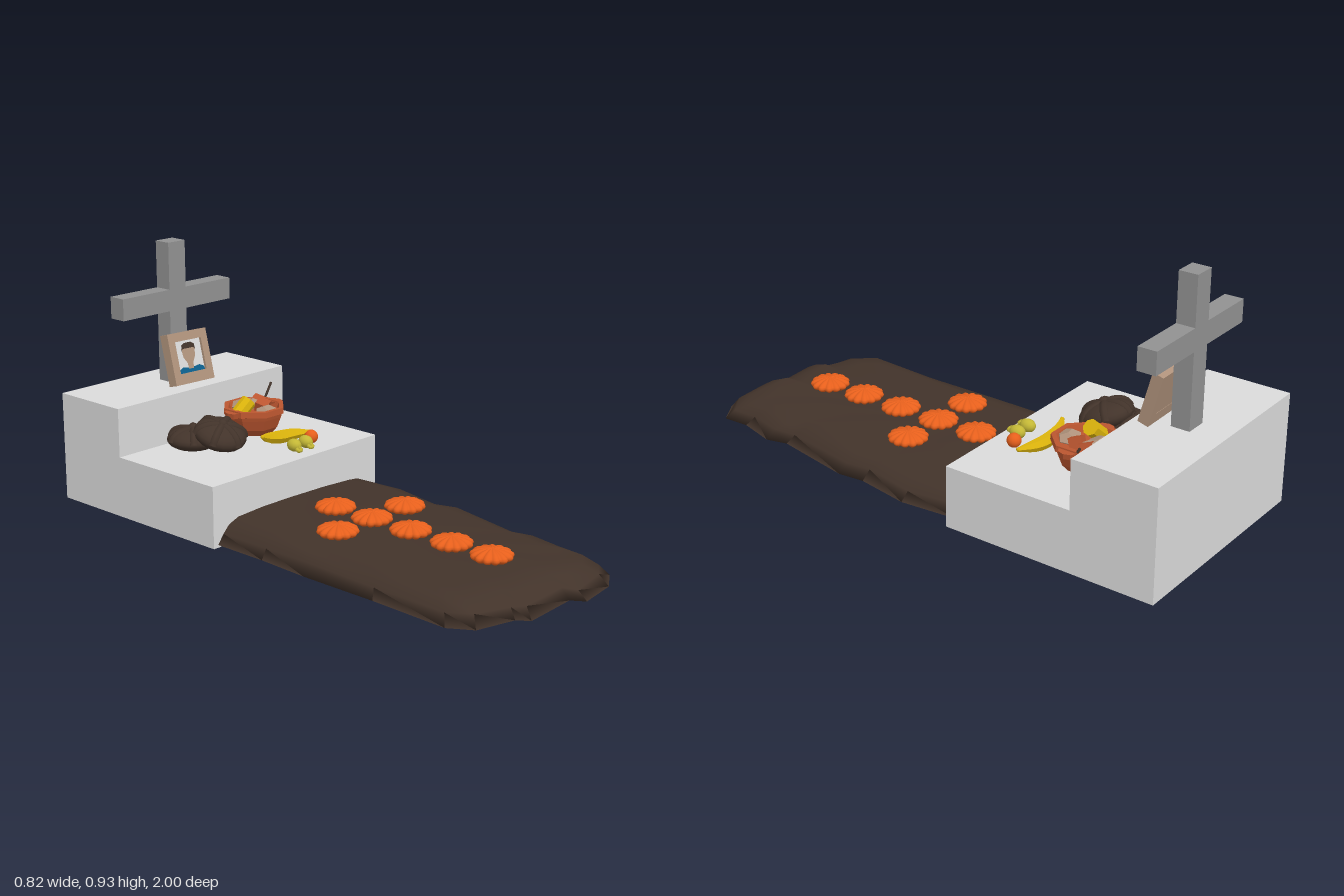
import * as THREE from 'three';

const mat = (name, color, side = THREE.FrontSide) => {
  const m = new THREE.MeshStandardMaterial({ color, side });
  m.name = name;
  return m;
};
const V = (x, y, z) => new THREE.Vector3(x, y, z);

// facet normals for the low-poly parts
function flat(geo) {
  const g = geo.index ? geo.toNonIndexed() : geo;
  g.computeVertexNormals();
  return g;
}

// grave mound: rings run from the middle of the underside, round the rim, to the middle of the top
function moundGeometry() {
  const outline = [[-0.39, -0.21], [-0.39, 0], [-0.4, 0.2], [-0.4, 0.5], [-0.41, 0.8], [-0.36, 0.88], [-0.22, 0.92],
    [-0.19, 0.96], [0.02, 0.95], [0.05, 0.995], [0.2, 0.975], [0.285, 0.92], [0.28, 0.82], [0.32, 0.68],
    [0.3, 0.6], [0.36, 0.3], [0.35, 0.2], [0.385, 0], [0.365, -0.21]];
  const rings = [[0, 0.5, 0.014], [1, 1, 0.01], [0.93, 0.975, 0.045], [0.86, 0.93, 0.074], [0.74, 0.87, 0.085],
    [0.4, 0.7, 0.09], [0, 0.45, 0.092]];
  const pos = [], idx = [], n = outline.length;
  rings.forEach(([s, t, y], k) => outline.forEach(([x, z], i) => {
    let bump = k > 1 && k < 6 ? 0.004 * Math.sin(i * 2.3 + k * 1.7) : 0;
    if (k === 4 && (i === 7 || i === 9)) bump = 0.02; // small clods
    pos.push(-0.02 + (x + 0.02) * s, y + bump, -0.21 + (z + 0.21) * t);
  }));
  for (let k = 0; k < rings.length - 1; k++) {
    for (let i = 0; i < n - 1; i++) {
      const a = k * n + i, c = a + n;
      idx.push(a, a + 1, c, a + 1, c + 1, c);
    }
  }
  const g = new THREE.BufferGeometry();
  g.setAttribute('position', new THREE.Float32BufferAttribute(pos, 3));
  g.setIndex(idx);
  g.computeVertexNormals();
  return g;
}

// flattened ball with a scalloped rim that droops between the petals
function petalGeometry(radius, height, petals) {
  const g = new THREE.SphereGeometry(1, petals * 6, 10);
  const p = g.attributes.position;
  for (let i = 0; i < p.count; i++) {
    const x = p.getX(i), z = p.getZ(i);
    const lobe = Math.abs(Math.cos(petals / 2 * Math.atan2(z, x)));
    const s = radius * (0.86 + 0.14 * lobe);
    p.setXYZ(i, x * s, p.getY(i) * height * (1 - 0.2 * (1 - lobe) * Math.hypot(x, z)), z * s);
  }
  g.computeVertexNormals();
  return g;
}

export function createModel() {
  const stone = mat('pale stone', 0xdadada, THREE.DoubleSide);
  const grey = mat('dark stone', 0x919191);
  const soil = mat('dark brown', 0x42332a, THREE.DoubleSide);
  const orange = mat('marigold orange', 0xe8601c);
  const clay = mat('clay', 0xba552f);
  const yellow = mat('yellow', 0xdcb40c);
  const lime = mat('yellow green', 0xc4b836);
  const tan = mat('tan', 0xb0937c, THREE.DoubleSide);
  const blue = mat('shirt blue', 0x0c6290, THREE.DoubleSide);

  const root = new THREE.Group();
  const group = (name, x, y, z, parent = root) => {
    const g = new THREE.Group();
    g.name = name;
    g.position.set(x, y, z);
    parent.add(g);
    return g;
  };
  const add = (name, geo, material, x = 0, y = 0, z = 0, parent = root) => {
    const m = new THREE.Mesh(geo, material);
    m.name = name;
    m.position.set(x, y, z);
    parent.add(m);
    return m;
  };
  const tube = (pts, r, seg = 8, sides = 6) =>
    new THREE.TubeGeometry(new THREE.CatmullRomCurve3(pts), seg, r, sides);

  // stepped plinth, extruded across the width
  const step = new THREE.Shape([[0.21, 0], [1, 0], [1, 0.4], [0.69, 0.4], [0.69, 0.222], [0.21, 0.222]]
    .map(([a, b]) => new THREE.Vector2(a, b)));
  const plinth = add('steppedPlinth', new THREE.ExtrudeGeometry(step, { depth: 0.82, bevelEnabled: false }), stone, -0.41);
  plinth.rotation.y = Math.PI / 2;

  // cross
  const cross = group('cross', -0.004, 0, -0.849);
  add('crossPost', new THREE.BoxGeometry(0.08, 0.525, 0.068), grey, 0, 0.6625, 0, cross);
  for (const s of [-1, 1]) add('crossArm', new THREE.BoxGeometry(0.221, 0.08, 0.068), grey, s * 0.1505, 0.711, 0, cross);

  add('graveMound', moundGeometry(), soil);

  // marigolds laid out as a cross
  const petals = petalGeometry(0.073, 0.024, 13);
  [[-0.03, 0], [-0.03, 0.168], [-0.03, 0.34], [-0.03, 0.515], [-0.03, 0.68], [-0.2, 0.168], [0.14, 0.168]].forEach(([x, z], i) => {
    const f = add('marigold', petals, orange, x, 0.106, z);
    f.rotation.y = i * 0.4;
  });

  // two sweet breads with broad ridges, one leaning on the other
  const bread = (x, y, z, tilt, turn, height) => {
    const b = group('sweetBread', x, y, z);
    b.rotation.set(tilt, turn, 0);
    const dome = new THREE.SphereGeometry(0.096, 20, 12);
    dome.scale(1, height * 0.55 / 0.096, 1);
    add('loaf', dome, soil, 0, height * 0.45, 0, b);
    for (let i = 0; i < 6; i++) {
      const a = i * Math.PI / 3 + 0.5, c = Math.cos(a), s = Math.sin(a);
      const pt = (r, h) => V(c * r, h * height, s * r);
      add('breadRidge', tube([pt(0, 0.88), pt(0.045, 0.84), pt(0.078, 0.65), pt(0.09, 0.4)], 0.016, 10, 8), soil, 0, 0, 0, b);
    }
    add('topKnob', new THREE.SphereGeometry(0.02, 10, 8), soil, 0, height * 0.92, 0, b);
  };
  bread(-0.152, 0.224, -0.585, 0, 0.3, 0.075);
  bread(-0.118, 0.25, -0.492, 0.32, 0, 0.085);

  // eight-sided clay bowl with handles
  const bowl = group('bowl', 0.135, 0.224, -0.567);
  const profile = [[0, 0], [0.07, 0], [0.092, 0.025], [0.108, 0.065], [0.112, 0.078], [0.119, 0.08], [0.117, 0.101], [0.1, 0.101], [0.092, 0.078], [0, 0.074]]
    .map(([r, y]) => new THREE.Vector2(r, y));
  const body = add('bowlBody', flat(new THREE.LatheGeometry(profile, 8)), clay, 0, 0, 0, bowl);
  body.rotation.y = Math.PI / 8;
  for (const s of [-1, 1]) {
    const h = add('bowlHandle', flat(new THREE.CylinderGeometry(0.026, 0.022, 0.02, 8)), clay, s * 0.109, 0.086, 0, bowl);
    h.scale.z = 1.3;
  }
  // stew pieces and spoon
  for (const [x, y, z, r] of [[0, 0.088, -0.055, 0.046], [0.005, 0.082, 0.06, 0.044], [-0.03, 0.08, -0.035, 0.03], [0.035, 0.092, -0.04, 0.034]]) {
    const m = add('meatPiece', flat(new THREE.DodecahedronGeometry(r)), tan, x, y, z, bowl);
    m.scale.y = 0.65;
    m.rotation.y = x * 30;
  }
  for (const [x, z] of [[0.035, 0.012], [0.055, -0.035]]) {
    const cube = add('stewCube', new THREE.BoxGeometry(0.045, 0.04, 0.045), clay, x, 0.092, z, bowl);
    cube.rotation.set(0.3, 0.3 + x, 0.2);
  }
  const corn = add('cornPiece', flat(new THREE.CylinderGeometry(0.029, 0.029, 0.075, 8)), yellow, -0.058, 0.099, 0.002, bowl);
  corn.rotation.set(0.15, 0, -0.85);
  add('spoon', tube([V(0.05, 0.088, -0.01), V(0.1, 0.108, -0.038), V(0.165, 0.139, -0.075)], 0.0045, 4), soil, 0, 0, 0, bowl);

  // banana, tapered toward both tips
  const path = new THREE.CatmullRomCurve3([V(-0.013, 0.274, -0.372), V(0.03, 0.258, -0.387), V(0.09, 0.247, -0.391),
    V(0.15, 0.246, -0.384), V(0.213, 0.247, -0.356)]);
  const bananaGeo = new THREE.TubeGeometry(path, 12, 0.024, 6);
  const bp = bananaGeo.attributes.position;
  for (let i = 0; i < bp.count; i++) {
    const t = Math.floor(i / 7) / 12, c = path.getPointAt(t);
    const k = Math.max(0.3, Math.pow(Math.sin(Math.PI * t), 0.5));
    const p = V(0, 0, 0).fromBufferAttribute(bp, i).sub(c).multiplyScalar(k).add(c);
    bp.setXYZ(i, p.x, p.y, p.z);
  }
  add('banana', flat(bananaGeo), yellow);
  for (const t of [0, 1]) {
    const c = path.getPointAt(t);
    add('bananaTip', new THREE.SphereGeometry(0.008, 6, 5), yellow, c.x, c.y, c.z);
  }

  // small fruits
  for (const x of [0.053, 0.112]) {
    const f = group('smallFruit', x, 0.249, -0.279);
    const ball = add('fruitBody', new THREE.SphereGeometry(0.023, 12, 9), lime, 0, 0, 0, f);
    ball.scale.z = 1.3;
    add('fruitStem', tube([V(0, -0.004, 0.022), V(-0.006, -0.008, 0.04), V(-0.022, -0.008, 0.045), V(-0.024, -0.002, 0.034)], 0.007), lime, 0, 0, 0, f);
  }
  add('orangeFruit', new THREE.SphereGeometry(0.025, 14, 10), orange, 0.17, 0.249, -0.307);

  // picture frame leaning against the cross
  const frame = group('pictureFrame', -0.008, 0.402, -0.762);
  frame.rotation.set(-0.27, 0, -0.022);
  const rect = (T, x0, y0, x1, y1) => new T([[x0, y0], [x1, y0], [x1, y1], [x0, y1]].map(([x, y]) => new THREE.Vector2(x, y)));
  const border = rect(THREE.Shape, -0.094, 0, 0.094, 0.19);
  border.holes.push(rect(THREE.Path, -0.063, 0.039, 0.063, 0.158));
  add('frameBorder', new THREE.ExtrudeGeometry(border, { depth: 0.04, bevelEnabled: false }), tan, 0, 0, 0, frame);
  add('frameBack', new THREE.BoxGeometry(0.184, 0.186, 0.004), tan, 0, 0.095, 0.003, frame);
  add('photoPaper', new THREE.PlaneGeometry(0.128, 0.122), stone, 0, 0.0985, 0.03, frame);
  // painted portrait layers
  const plate = (name, pts, material, z) => add(name, new THREE.ShapeGeometry(
    new THREE.Shape(pts.map(([x, y]) => new THREE.Vector2(x, y)))), material, 0, 0, z, frame);
  plate('portraitShirt', [[-0.063, 0.039], [0.063, 0.039], [0.06, 0.052], [0.04, 0.061], [0.014, 0.057], [-0.014, 0.057],
    [-0.04, 0.061], [-0.06, 0.052]], blue, 0.031);
  plate('portraitFace', [[-0.013, 0.052], [0.011, 0.052], [0.013, 0.074], [0.027, 0.096], [0.031, 0.128], [0.015, 0.143],
    [-0.02, 0.143], [-0.034, 0.128], [-0.03, 0.096], [-0.015, 0.074]], tan, 0.032);
  plate('portraitHair', [[-0.035, 0.118], [-0.028, 0.128], [0.024, 0.128], [0.032, 0.118], [0.03, 0.14], [0.016, 0.149],
    [-0.018, 0.149], [-0.031, 0.142]], soil, 0.033);
  return root;
}
